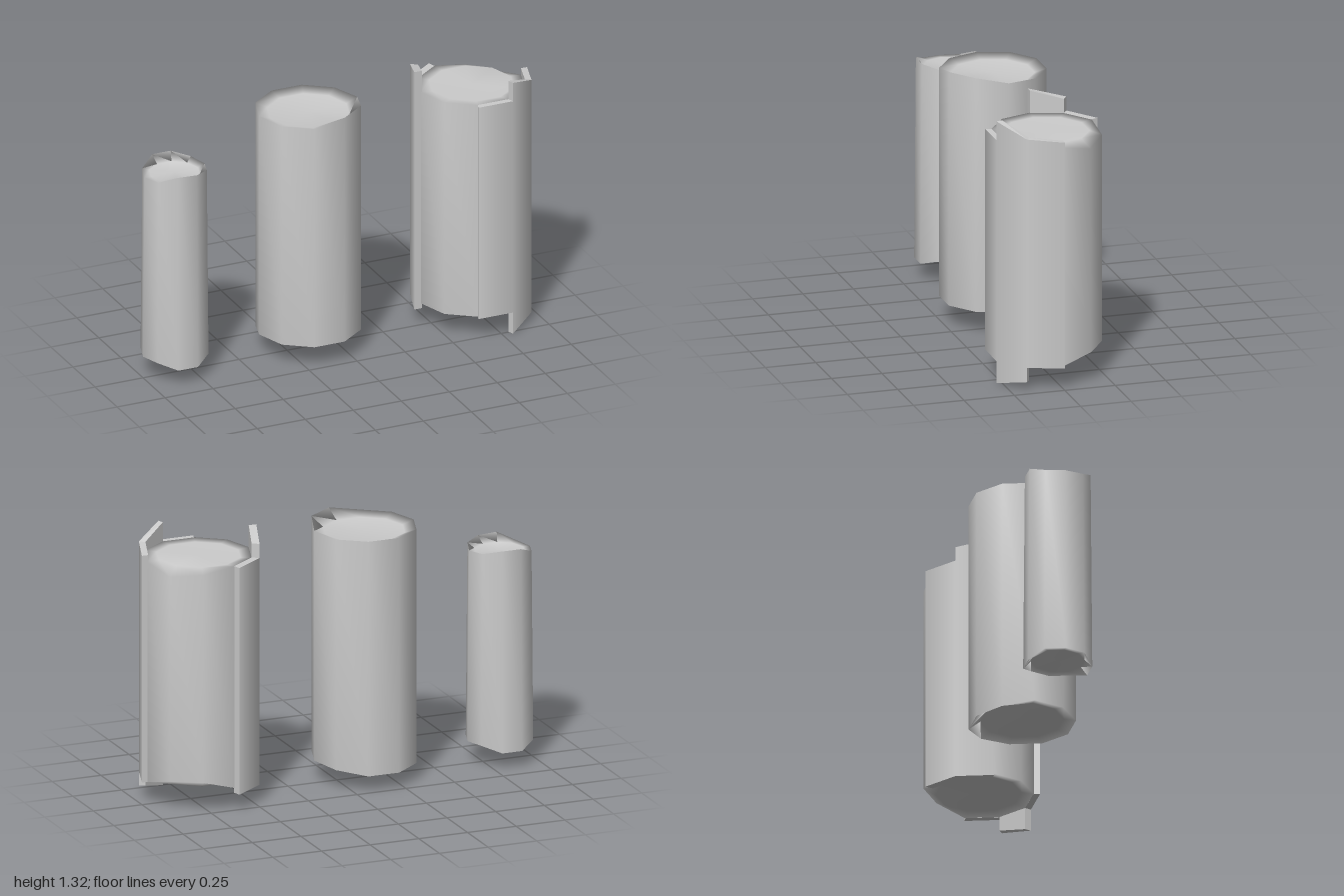
import * as THREE from 'three';
import { mergeVertices } from 'three/addons/utils/BufferGeometryUtils.js';

const SIDES = 10;
const STEP = (Math.PI * 2) / SIDES;
const material = new THREE.MeshStandardMaterial({ color: 0xcccccc, roughness: 0.9 });

// Point on a ring: corner 0 is at +x, corners advance toward +z
const ringPoint = (r, i, y) => [r * Math.cos(i * STEP), y, r * Math.sin(i * STEP)];

// Smooth ten-sided log with uneven rims and slightly inset ends
function makeLog(name, { x, bottomRadius, topRadius, bottoms, tops, lowCap, highCap }) {
  const rings = [
    [0, () => lowCap],
    [bottomRadius * 0.78, () => lowCap],
    [bottomRadius, (i) => bottoms[i]],
    [topRadius, (i) => tops[i]],
    [topRadius * 0.78, () => highCap],
    [0, () => highCap],
  ];
  const positions = [];
  const index = [];
  rings.forEach(([r, height], k) => {
    for (let i = 0; i < SIDES; i++) {
      positions.push(...ringPoint(r, i, height(i)));
      if (k === rings.length - 1) continue;
      const a0 = k * SIDES + i;
      const a1 = k * SIDES + ((i + 1) % SIDES);
      const b0 = a0 + SIDES;
      const b1 = a1 + SIDES;
      if (k > 0) index.push(a0, b1, a1);
      if (k < rings.length - 2) index.push(a0, b0, b1);
      else index.splice(-3, 3, a0, b0, a1);
      if (k === 0) index.splice(-3, 3, a0, b0, b1);
    }
  });
  let geometry = new THREE.BufferGeometry();
  geometry.setAttribute('position', new THREE.Float32BufferAttribute(positions, 3));
  geometry.setIndex(index);
  geometry = mergeVertices(geometry);
  geometry.computeVertexNormals();
  const mesh = new THREE.Mesh(geometry, material);
  mesh.name = name;
  mesh.position.x = x;
  return mesh;
}

// Curved bark slab: each piece is [corner, low0, low1, high0, high1]
function makeBark(name, x, inner, outer, pieces) {
  const positions = [];
  const quad = (a, b, c, d) => positions.push(...a, ...b, ...c, ...a, ...c, ...d);
  const outerStarts = [];
  for (const [i, l0, l1, h0, h1] of pieces) {
    const o = [ringPoint(outer, i, l0), ringPoint(outer, i, h0), ringPoint(outer, i + 1, h1), ringPoint(outer, i + 1, l1)];
    const n = [ringPoint(inner, i, l0), ringPoint(inner, i, h0), ringPoint(inner, i + 1, h1), ringPoint(inner, i + 1, l1)];
    outerStarts.push(positions.length / 3);
    quad(o[0], o[1], o[2], o[3]); // outside
    quad(n[3], n[2], n[1], n[0]); // inside
    quad(o[1], n[1], n[2], o[2]); // top edge
    quad(o[3], n[3], n[0], o[0]); // bottom edge
    quad(n[0], n[1], o[1], o[0]); // ends
    quad(o[3], o[2], n[2], n[3]);
  }
  const geometry = new THREE.BufferGeometry();
  geometry.setAttribute('position', new THREE.Float32BufferAttribute(positions, 3));
  geometry.computeVertexNormals();
  // Round shading on the outside only
  const { position, normal } = geometry.attributes;
  for (const start of outerStarts) {
    for (let v = start; v < start + 6; v++) {
      normal.setXYZ(v, position.getX(v) / outer, 0, position.getZ(v) / outer);
    }
  }
  const mesh = new THREE.Mesh(geometry, material);
  mesh.name = name;
  mesh.position.x = x;
  return mesh;
}

export function createModel() {
  const group = new THREE.Group();
  group.name = 'logs';

  group.add(makeLog('smallLog', {
    x: -0.836, bottomRadius: 0.164, topRadius: 0.156, lowCap: 0.115, highCap: 1.04,
    bottoms: [0.11, 0.11, 0.08, 0.08, 0.11, 0.11, 0.11, 0.08, 0.08, 0.11],
    tops: [1.055, 1.065, 1.075, 1.08, 1.045, 1.04, 1.045, 1.08, 1.08, 1.06],
  }));

  group.add(makeLog('mediumLog', {
    x: -0.14, bottomRadius: 0.255, topRadius: 0.255, lowCap: 0.12, highCap: 1.225,
    bottoms: [0.11, 0.11, 0.11, 0.11, 0.11, 0.11, 0.085, 0.08, 0.08, 0.1],
    tops: [1.25, 1.275, 1.275, 1.245, 1.245, 1.245, 1.245, 1.245, 1.245, 1.245],
  }));

  // Large log with two loose slabs of bark
  const large = new THREE.Group();
  large.name = 'largeLog';
  const x = 0.71;
  large.add(makeLog('largeLogCore', {
    x, bottomRadius: 0.262, topRadius: 0.262, lowCap: 0.12, highCap: 1.205,
    bottoms: [0.11, 0.11, 0.11, 0.11, 0.11, 0.11, 0.11, 0.11, 0.155, 0.15],
    tops: [1.2, 1.21, 1.21, 1.21, 1.21, 1.21, 1.21, 1.21, 1.185, 1.165],
  }));
  large.add(makeBark('frontBark', x, 0.258, 0.29, [
    [0, 0.11, 0.11, 1.235, 1.25],
    [1, 0.04, 0, 1.25, 1.305],
    [2, 0.11, 0.11, 1.21, 1.21],
  ]));
  large.add(makeBark('backBark', x, 0.258, 0.297, [
    [5, 0.085, 0.085, 1.32, 1.28],
    [6, 0.085, 0.085, 1.21, 1.21],
  ]));
  group.add(large);
  return group;
}
